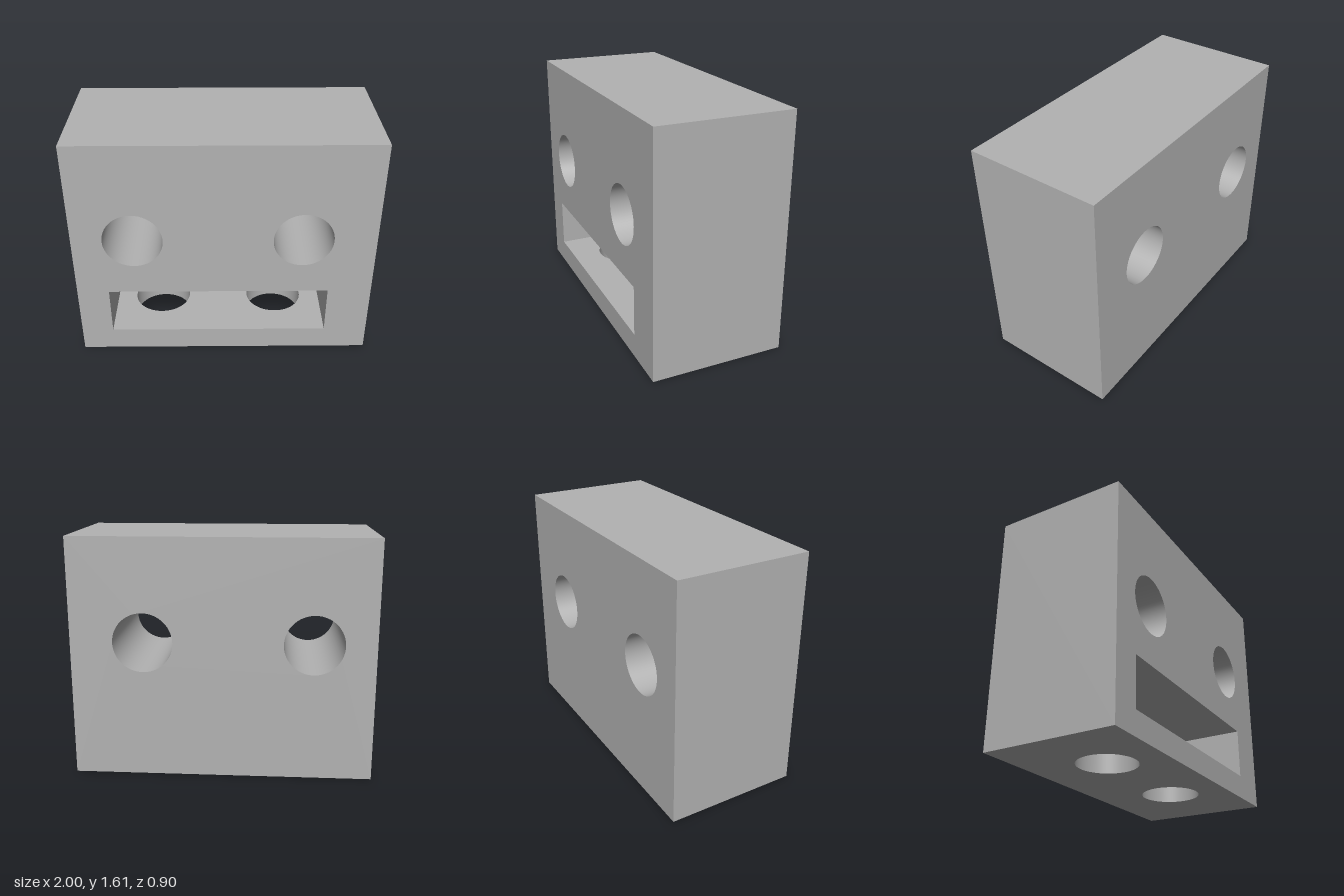
import * as THREE from 'three';

const W = 1, H = 1.61, D = 0.452;             // half width, height, half depth
const R = 0.198;                              // bore radius
const EYES = [[-0.598, 0.92], [0.52, 0.92]];  // front-to-back bores (x, y)
const DRAINS = [[-0.453, 0.054], [0.37, 0.054]]; // bores through the pocket floor (x, z)
const P = { x0: -0.785, x1: 0.706, y0: 0.163, y1: 0.505, back: -0.345 }; // pocket

const rect = (C, x0, y0, x1, y1) => {
  const s = new C();
  s.moveTo(x0, y0);
  s.lineTo(x1, y0);
  s.lineTo(x1, y1);
  s.lineTo(x0, y1);
  s.closePath();
  return s;
};

const circle = ([x, y], r) => {
  const p = new THREE.Path();
  p.absarc(x, y, r, 0, Math.PI * 2, true);
  return p;
};

export function createModel() {
  const model = new THREE.Group();
  const grey = new THREE.MeshStandardMaterial({ color: 0xb2b2b2 });
  grey.name = 'grey';

  const add = (name, geometry) => {
    const mesh = new THREE.Mesh(geometry, grey);
    mesh.name = name;
    model.add(mesh);
    return mesh;
  };

  // Flat face with optional holes, turned and moved into place
  const panel = (name, box, holes, rx, ry, pos) => {
    const shape = rect(THREE.Shape, ...box);
    shape.holes.push(...holes);
    const mesh = add(name, new THREE.ShapeGeometry(shape, 32));
    mesh.rotation.set(rx, ry, 0);
    mesh.position.set(...pos);
  };

  // Inward-facing round wall from y = 0 to y = length
  const bore = (name, r, length) => add(name, new THREE.LatheGeometry(
    [new THREE.Vector2(r, length), new THREE.Vector2(r, 0)], 64));

  const q = Math.PI / 2;
  const eyeHoles = EYES.map(c => circle(c, R));
  const mouth = rect(THREE.Path, P.x0, P.y0, P.x1, P.y1);

  // Outer block
  panel('frontFace', [-W, 0, W, H], [...eyeHoles, mouth], 0, 0, [0, 0, D]);
  panel('backFace', [-W, 0, W, H], EYES.map(([x, y]) => circle([-x, y], R)), 0, 2 * q, [0, 0, -D]);
  panel('leftFace', [-D, 0, D, H], [], 0, q, [W, 0, 0]);
  panel('rightFace', [-D, 0, D, H], [], 0, -q, [-W, 0, 0]);
  panel('topFace', [-W, -D, W, D], [], -q, 0, [0, H, 0]);
  panel('bottomFace', [-W, -D, W, D], DRAINS.map(c => circle(c, R)), q, 0, [0, 0, 0]);

  // Pocket in the lower front
  panel('pocketFloor', [P.x0, -D, P.x1, -P.back], DRAINS.map(([x, z]) => circle([x, -z], R)), -q, 0, [0, P.y0, 0]);
  panel('pocketCeiling', [P.x0, P.back, P.x1, D], [], q, 0, [0, P.y1, 0]);
  panel('pocketBack', [P.x0, P.y0, P.x1, P.y1], [], 0, 0, [0, 0, P.back]);
  panel('pocketRightWall', [-D, P.y0, -P.back, P.y1], [], 0, q, [P.x0, 0, 0]);
  panel('pocketLeftWall', [P.back, P.y0, D, P.y1], [], 0, -q, [P.x1, 0, 0]);

  // Walls of the bores
  for (const [x, y] of EYES) {
    const m = bore('throughBore', R, 2 * D);
    m.rotation.x = q;
    m.position.set(x, y, -D);
  }
  for (const [x, z] of DRAINS) bore('floorBore', R, P.y0).position.set(x, 0, z);

  return model;
}
